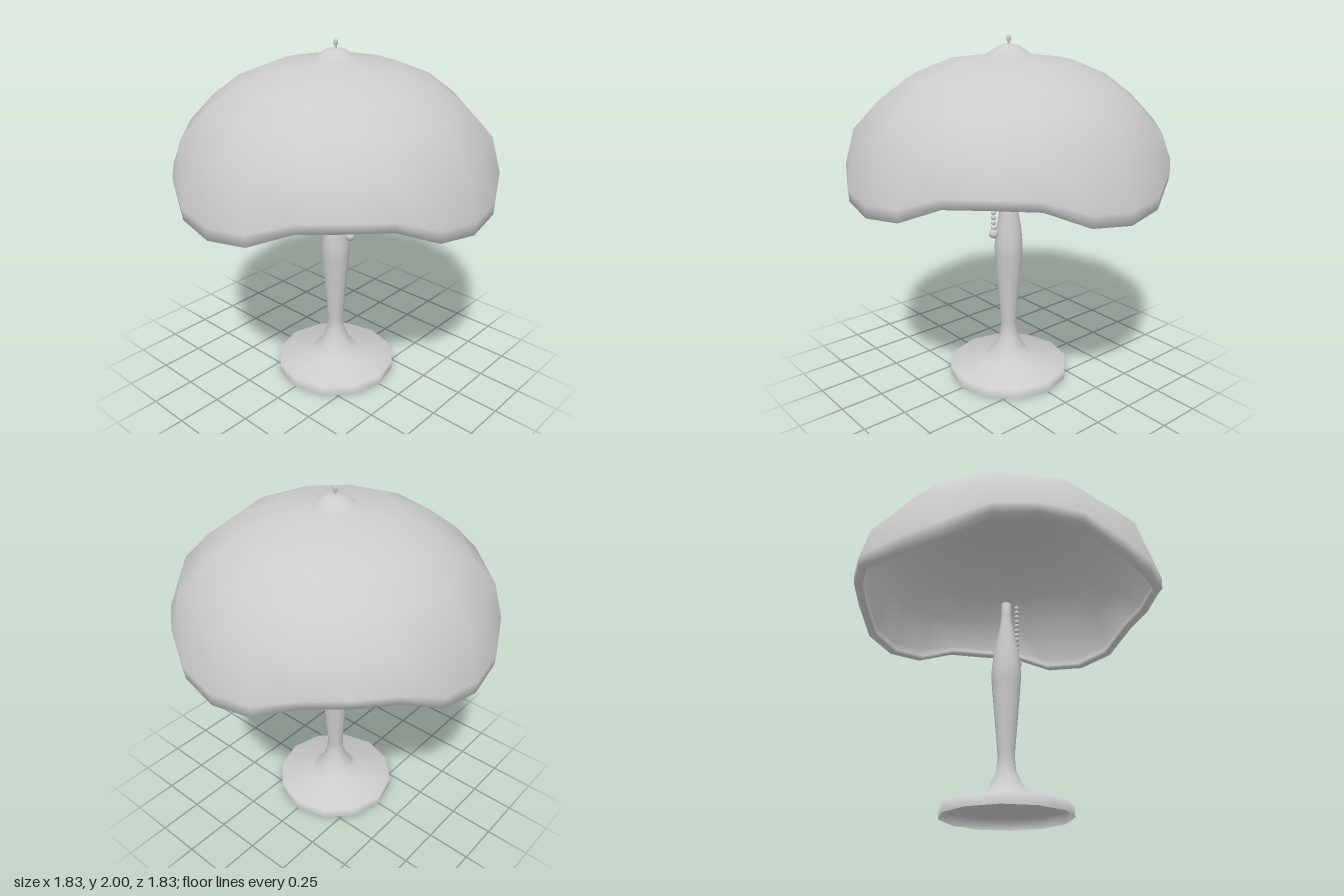
import * as THREE from 'three';
import { mergeVertices } from 'three/addons/utils/BufferGeometryUtils.js';

const material = new THREE.MeshStandardMaterial({ color: 0xcccccc, side: THREE.DoubleSide });

// Turned surface from [radius, height] pairs, listed so that it faces outwards
function lathe(profile, sides) {
  return new THREE.LatheGeometry(profile.map(([r, y]) => new THREE.Vector2(r, y)), sides);
}

function addMesh(parent, name, geometry, x = 0, y = 0, z = 0) {
  const mesh = new THREE.Mesh(geometry, material);
  mesh.name = name;
  mesh.position.set(x, y, z);
  parent.add(mesh);
  return mesh;
}

// Twelve-sided dome with a finer rim that dips at front, back and sides
function shadeGeometry() {
  // [radius, height, how strongly the row follows the wavy rim]
  const rows = [
    [0, 1.87, 0], [0.33, 1.845, 0], [0.52, 1.765, 0], [0.675, 1.645, 0],
    [0.815, 1.49, 0.2], [0.88, 1.23, 0.85], [0.855, 1.175, 1], // inside
    [0.87, 1.157, 1], [0.912, 1.16, 1], // rolled rim
    [0.915, 1.23, 0.85], [0.845, 1.5, 0.2], [0.70, 1.67, 0], [0.54, 1.79, 0],
    [0.34, 1.87, 0], [0.13, 1.896, 0], [0.10, 1.917, 0], [0.05, 1.947, 0], [0, 1.956, 0], // outside
  ];
  const sides = 24;
  const waves = [0, 0.2, 0.92, 1, 0.92, 0.2]; // rim height over a quarter turn
  const chord = Math.cos(Math.PI / 12);
  let geometry = lathe(rows, sides);
  const p = geometry.attributes.position;
  for (let i = 0; i < p.count; i++) {
    const weight = rows[i % rows.length][2];
    const step = Math.floor(i / rows.length);
    const lift = 0.13 * waves[step % 6] * weight;
    const flat = step % 2 && weight < 0.5 ? chord : 1;
    const pinch = flat * (1 - 0.03 * waves[step % 6] * weight);
    p.setXYZ(i, p.getX(i) * pinch, p.getY(i) + lift, p.getZ(i) * pinch);
  }
  geometry.deleteAttribute('normal');
  geometry.deleteAttribute('uv');
  geometry = mergeVertices(geometry, 1e-4);
  geometry.computeVertexNormals();
  return geometry;
}

export function createModel() {
  const lamp = new THREE.Group();
  lamp.name = 'tableLamp';

  // Hollow foot flowing into the turned post
  addMesh(lamp, 'baseAndPost', lathe([
    [0.355, 0], [0.355, 0.06], [0.15, 0.102], [0.09, 0.165], [0.053, 0.25], [0.046, 0.33],
    [0.082, 0.75], [0.083, 0.82], [0.072, 0.93], [0.035, 1.11], [0.029, 1.17], [0.027, 1.25], [0, 1.256],
  ], 12));

  addMesh(lamp, 'shade', shadeGeometry());

  // Small knob on top
  addMesh(lamp, 'finial', lathe([
    [0.007, 1.945], [0.007, 1.965], [0.012, 1.973], [0.012, 1.99], [0.007, 1.998], [0, 2],
  ], 10));

  // Beaded pull chain
  const chain = new THREE.Group();
  chain.name = 'pullChain';
  lamp.add(chain);
  const bead = new THREE.SphereGeometry(0.0145, 10, 8);
  for (let i = 0; i < 12; i++) addMesh(chain, 'bead', bead, 0.112, 0.94 + i * 0.03, 0);
  addMesh(chain, 'pullBall', new THREE.SphereGeometry(0.028, 12, 10), 0.112, 0.905, 0);

  return lamp;
}
